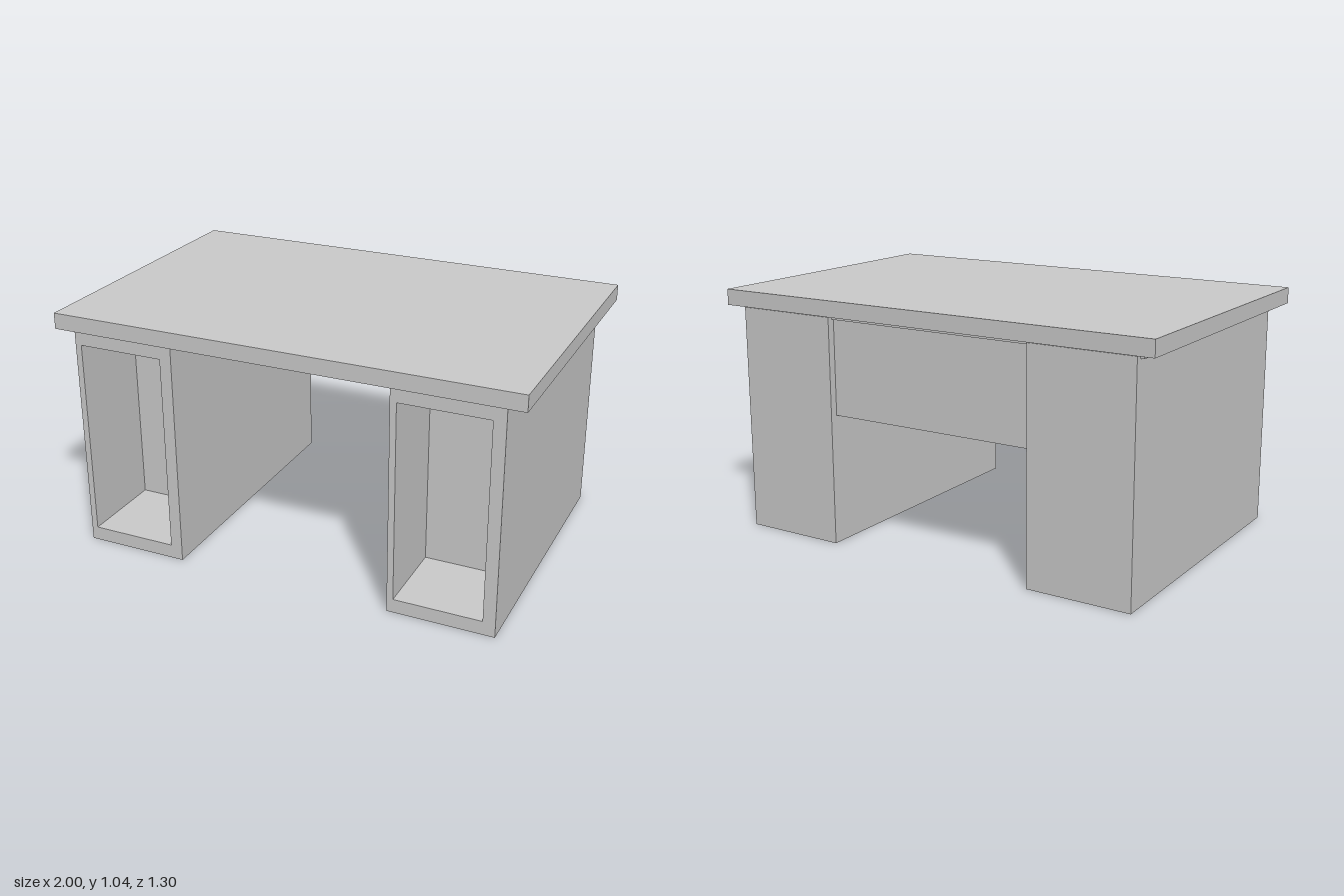
import * as THREE from 'three';

const material = new THREE.MeshStandardMaterial({ color: 0xcccccc });

// Box given by its minimum and maximum corners
function box(name, [x0, y0, z0], [x1, y1, z1]) {
  const geometry = new THREE.BoxGeometry(x1 - x0, y1 - y0, z1 - z0);
  geometry.translate((x0 + x1) / 2, (y0 + y1) / 2, (z0 + z1) / 2);
  const mesh = new THREE.Mesh(geometry, material);
  mesh.name = name;
  return mesh;
}

function rectangle(path, x0, y0, x1, y1) {
  path.moveTo(x0, y0).lineTo(x1, y0).lineTo(x1, y1).lineTo(x0, y1).closePath();
  return path;
}

const FRONT = 0.625, BACK = -0.633;

// Solid pedestal with an open compartment in its front; x0 is its -x side
function pedestal(name, x0, depth) {
  const group = new THREE.Group();
  group.name = name;
  const width = 0.452, height = 0.97;
  const shape = rectangle(new THREE.Shape(), x0, 0, x0 + width, height);
  shape.holes.push(rectangle(new THREE.Path(), x0 + 0.027, 0.06, x0 + 0.4, 0.91));
  const geometry = new THREE.ExtrudeGeometry(shape, { depth, bevelEnabled: false });
  geometry.translate(0, 0, FRONT - depth);
  const frame = new THREE.Mesh(geometry, material);
  frame.name = 'compartmentFrame';
  group.add(frame, box('pedestalBody', [x0, 0, BACK], [x0 + width, height, FRONT - depth]));
  return group;
}

export function createModel() {
  const desk = new THREE.Group();
  desk.name = 'desk';
  desk.add(
    box('desktop', [-1, 0.975, -0.65], [1, 1.043, 0.65]),
    // Thin plate under the desktop
    box('underPlate', [-0.94, 0.958, -0.61], [0.935, 0.975, 0.61]),
    // Panel joining the pedestals at the back
    box('modestyPanel', [-0.47, 0.553, -0.6], [0.47, 0.965, -0.45]),
    pedestal('rightPedestal', -0.924, 0.38),
    pedestal('leftPedestal', 0.468, 0.355),
  );
  return desk;
}
